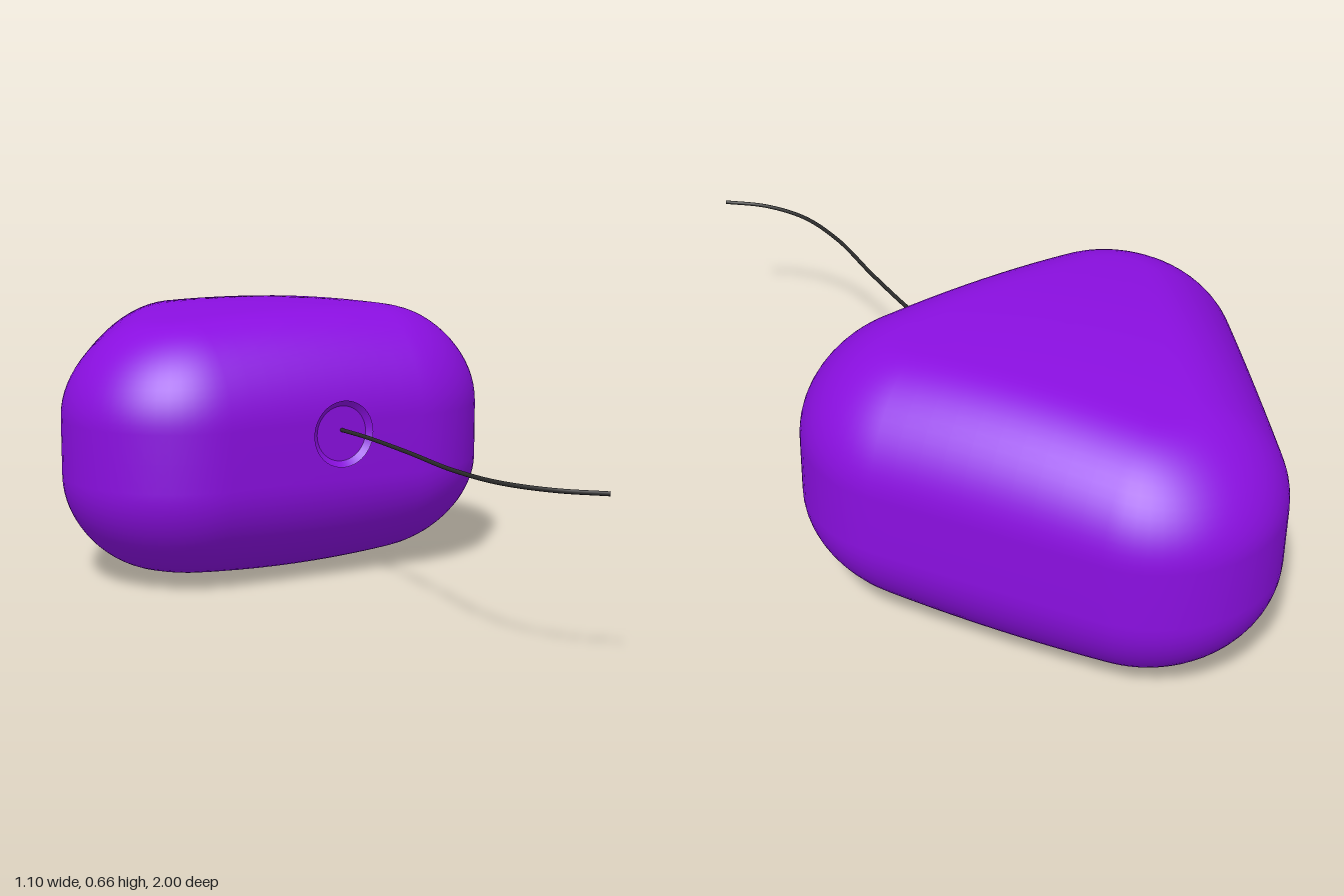
import * as THREE from 'three';

const purple = new THREE.MeshStandardMaterial({ color: 0x8a0fe0, side: THREE.DoubleSide });
const dark = new THREE.MeshStandardMaterial({ color: 0x2a2a2a });

// Rounded triangle in plan: corner arcs of a given radius joined by straight, subdivided edges
const corners = [[0.26, -0.25], [-0.26, -0.25], [0, -0.71]];
function outline(radius) {
  const pts = [];
  const at = (c, deg) => {
    const a = THREE.MathUtils.degToRad(deg);
    return new THREE.Vector2(corners[c][0] + radius * Math.cos(a), corners[c][1] + radius * Math.sin(a));
  };
  for (let c = 0; c < 3; c++) {
    const start = -30 + c * 120;
    for (let k = 0; k < 20; k++) pts.push(at(c, start + k * 6));
    const end = at(c, start + 120), next = at((c + 1) % 3, start + 120);
    for (let k = 0; k < 10; k++) pts.push(end.clone().lerp(next, k / 10));
  }
  return pts;
}

// Half profile from the waist to the crown: inset, height, shrink and amount of doming
function halfProfile() {
  const steps = [{ inset: 0, h: 0, shrink: 1, dome: 0 }];
  for (let k = 0; k <= 16; k++) {
    const a = (k / 16) * Math.PI / 2;
    steps.push({ inset: 0.22 * (1 - Math.cos(a)), h: 0.07 + 0.26 * Math.sin(a), shrink: 1, dome: Math.sin(a) });
  }
  for (let k = 1; k <= 10; k++) steps.push({ inset: 0.22, h: 0.33, shrink: 1 - k / 10, dome: 1 });
  return steps;
}

function balloonGeometry() {
  const half = halfProfile();
  const rings = [
    ...half.slice(1).reverse().map(s => ({ ...s, sign: -1 })),
    ...half.map(s => ({ ...s, sign: 1 })),
  ];
  const positions = [], index = [];
  let n = 0;
  rings.forEach(({ inset, h, shrink, dome, sign }) => {
    const pts = outline(0.29 - inset);
    n = pts.length;
    // The two crowns peak at slightly different spots
    const px = 0.03 * sign, pz = sign > 0 ? -0.33 : -0.43;
    for (const p of pts) {
      const x = p.x * shrink, z = -0.4 + (p.y + 0.4) * shrink;
      const drop = 0.17 * dome * ((x - px) ** 2 + (z - pz) ** 2);
      positions.push(x, 0.332 + sign * (h - drop), z);
    }
  });
  for (let i = 0; i < rings.length - 1; i++) {
    for (let j = 0; j < n; j++) {
      const a = i * n + j, b = i * n + (j + 1) % n;
      index.push(a, a + n, b, b, a + n, b + n);
    }
  }
  const geo = new THREE.BufferGeometry();
  geo.setAttribute('position', new THREE.Float32BufferAttribute(positions, 3));
  geo.setIndex(index);
  geo.computeVertexNormals();
  return geo;
}

export function createModel() {
  const group = new THREE.Group();
  const add = (name, geo, mat) => {
    const mesh = new THREE.Mesh(geo, mat);
    mesh.name = name;
    group.add(mesh);
    return mesh;
  };

  // Inflated rounded triangular body
  add('balloonBody', balloonGeometry(), purple);

  // Flared knot with a shallow recess in its open end
  const flare = new THREE.LatheGeometry([[0, 0], [0.08, 0.085]].map(p => new THREE.Vector2(...p)), 40);
  const recess = new THREE.LatheGeometry([[0.08, 0.085], [0.066, 0.073]].map(p => new THREE.Vector2(...p)), 40);
  const knot = new THREE.Group();
  knot.name = 'knot';
  const floor = new THREE.CircleGeometry(0.066, 40).rotateX(-Math.PI / 2).translate(0, 0.073, 0);
  for (const [name, geo] of [['knotFlare', flare], ['knotLip', recess], ['knotFloor', floor]]) {
    const mesh = new THREE.Mesh(geo, purple);
    mesh.name = name;
    knot.add(mesh);
  }
  knot.rotation.x = Math.PI / 2;
  knot.position.set(0, 0.387, 0.022);
  group.add(knot);

  // Trailing string, curving in a level plane
  const path = new THREE.CatmullRomCurve3([
    [0, 0.06], [0.002, 0.2], [-0.016, 0.42], [-0.042, 0.64], [-0.032, 0.8], [0.02, 0.915], [0.096, 0.995],
  ].map(([x, z]) => new THREE.Vector3(x, 0.395, z)));
  add('string', new THREE.TubeGeometry(path, 80, 0.005, 8), dark);

  return group;
}
